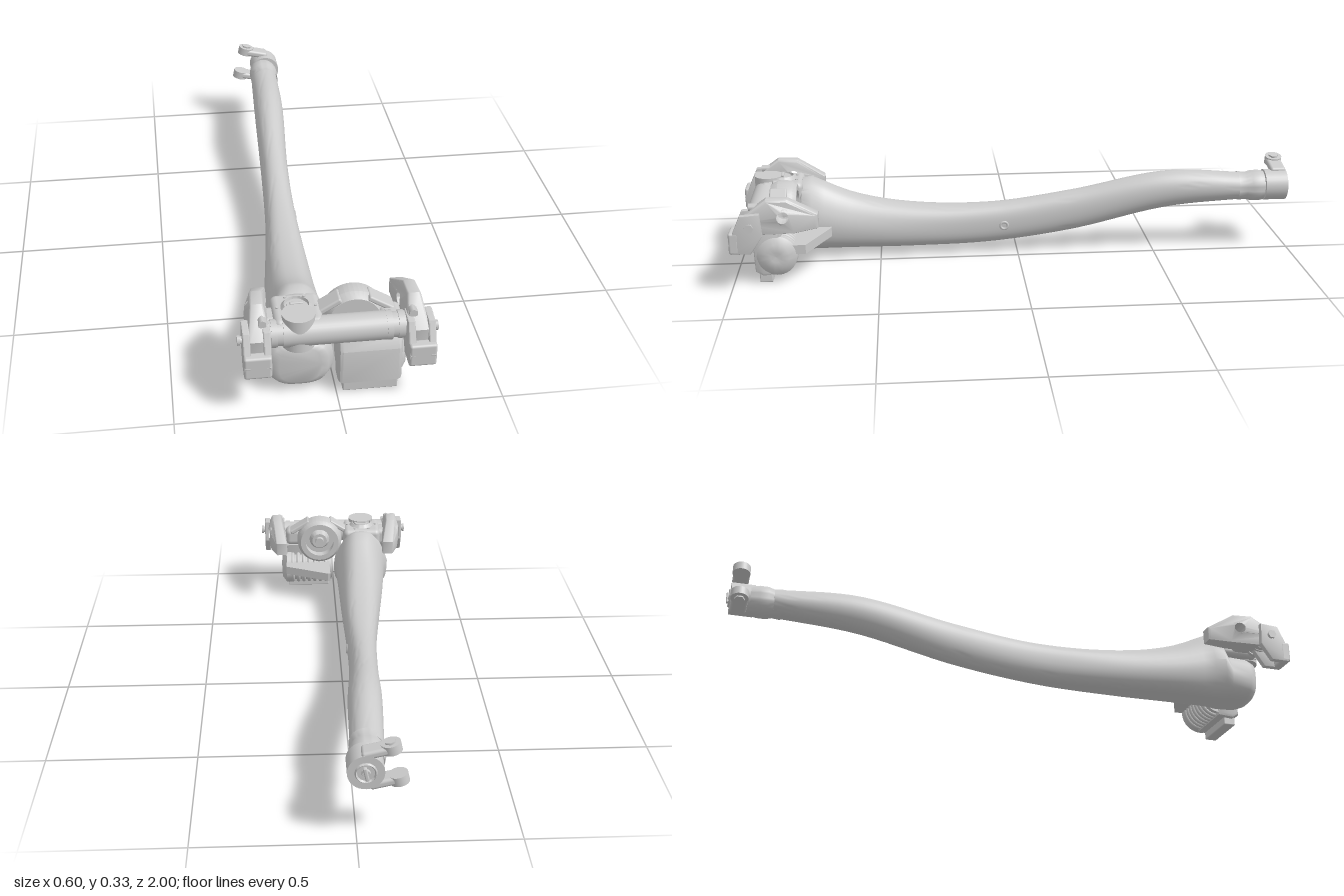
import * as THREE from 'three';
import { RoundedBoxGeometry } from 'three/addons/geometries/RoundedBoxGeometry.js';
import { toCreasedNormals } from 'three/addons/utils/BufferGeometryUtils.js';

const material = new THREE.MeshStandardMaterial({ color: 0xcccccc, side: THREE.DoubleSide });

function add(parent, name, geometry, x = 0, y = 0, z = 0) {
  const mesh = new THREE.Mesh(geometry, material);
  mesh.name = name;
  mesh.position.set(x, y, z);
  parent.add(mesh);
  return mesh;
}
const box = (w, h, d, r = 0.01) => new RoundedBoxGeometry(w, h, d, 3, r);

// Cylinder along a chosen axis
function rod(r, length, axis = 'x', sides = 32) {
  const g = new THREE.CylinderGeometry(r, r, length, sides);
  if (axis === 'x') g.rotateZ(-Math.PI / 2);
  if (axis === 'z') g.rotateX(Math.PI / 2);
  return g;
}

// Turned shape: profile of [radius, position along axis]
function turned(points, axis) {
  const g = new THREE.LatheGeometry(points.map(([r, h]) => new THREE.Vector2(r, h)), 40);
  if (axis === 'x') g.rotateZ(-Math.PI / 2);
  if (axis === 'z') g.rotateX(Math.PI / 2);
  return toCreasedNormals(g, 0.6);
}

// Side profile of [z, y] points, extruded across x around its own centre
function sidePlate(points, width, bevel, holes = []) {
  const shape = new THREE.Shape(points.map(([z, y]) => new THREE.Vector2(-z, y)));
  for (const [z, y, r] of holes) shape.holes.push(new THREE.Path().absarc(-z, y, r, 0, Math.PI * 2, true));
  const g = new THREE.ExtrudeGeometry(shape, {
    depth: width - 2 * bevel, bevelEnabled: true, bevelSize: bevel, bevelThickness: bevel,
    bevelOffset: -bevel, bevelSegments: 2, curveSegments: 20,
  });
  g.translate(0, 0, -width / 2 + bevel);
  g.rotateY(Math.PI / 2);
  return toCreasedNormals(g, 0.6);
}

// Long curved beam lofted through smoothly interpolated cross-sections
function beamGeometry() {
  // Edges at each distance -z: left x, right x, bottom y, top y
  const distance = [-0.74, -0.6, -0.4, -0.1, 0.2, 0.55, 0.84];
  const edges = [
    -0.205, -0.004, 0.022, 0.287,
    -0.19, -0.01, 0.024, 0.225,
    -0.165, -0.014, 0.025, 0.185,
    -0.132, -0.02, 0.034, 0.18,
    -0.116, -0.015, 0.074, 0.223,
    -0.105, 0.007, 0.157, 0.292,
    -0.09, 0.014, 0.184, 0.28,
  ];
  const along = new THREE.CubicInterpolant(distance, edges, 4);
  const { smoothstep, lerp } = THREE.MathUtils;

  // Nose: z, top y, inset of the outline
  const rings = [[0.905, 0.19, 0.045], [0.898, 0.19, 0.022], [0.87, 0.19, 0.004], [0.8, 0.2, 0], [0.775, 0.28, 0]]
    .map(([z, top, inset]) => [z, -0.22 + inset, -inset, 0.02 + inset / 2, top - inset / 2]);
  const steps = 36;
  for (let i = 0; i <= steps; i++) {
    const z = lerp(0.74, -0.84, i / steps);
    rings.push([z, ...along.evaluate(-z)]);
  }

  const n = 40, position = [], index = [];
  const power = (v, e) => Math.sign(v) * Math.abs(v) ** e;
  for (const [z, l, r, b, t] of rings) {
    // Boxy and narrow-topped at the front, round at the rear
    const exponent = lerp(1, 0.72, smoothstep(z, -0.6, 0.6));
    const narrow = 0.35 * smoothstep(z, 0.1, 0.75) * (1 - smoothstep(z, 0.77, 0.9));
    for (let j = 0; j < n; j++) {
      const a = (j / n) * Math.PI * 2;
      const s = power(Math.sin(a), exponent);
      const c = power(Math.cos(a), exponent) * (1 - narrow * Math.max(0, s));
      position.push((l + r) / 2 + c * (r - l) / 2, (b + t) / 2 + s * (t - b) / 2, z);
    }
  }
  const last = rings.length - 1;
  for (let j = 0; j < n; j++) {
    const k = (j + 1) % n;
    for (let i = 0; i < last; i++) {
      const a = i * n + j, b = i * n + k;
      index.push(a, a + n, b, b, a + n, b + n);
    }
    if (j > 0 && j < n - 1) index.push(0, j, k, last * n, last * n + k, last * n + j);
  }
  const g = new THREE.BufferGeometry();
  g.setAttribute('position', new THREE.Float32BufferAttribute(position, 3));
  g.setIndex(index);
  return toCreasedNormals(g, 0.9);
}

// End bracket on one side of the cross tube
function endBracket(side) {
  const g = new THREE.Group();
  g.name = side > 0 ? 'leftEndBracket' : 'rightEndBracket';
  const upper = sidePlate([[0.96, 0.2], [0.965, 0.25], [0.87, 0.32], [0.8, 0.318],
    [0.7, 0.26], [0.7, 0.21], [0.78, 0.2]], 0.07, 0.008, [[0.815, 0.26, 0.028]]);
  // Narrow the bracket towards its crest and its rear tip
  const p = upper.attributes.position;
  for (let i = 0; i < p.count; i++) {
    const crest = Math.max(0, p.getY(i) - 0.27) / 0.05;
    const tip = Math.max(0, 0.82 - p.getZ(i)) / 0.12;
    p.setX(i, p.getX(i) * (1 - 0.45 * crest) * (1 - 0.35 * tip) - 0.02 * tip * side);
  }
  add(g, 'bracketArm', toCreasedNormals(upper, 0.6), 0.237 * side);
  for (const x of [0.215, 0.276])
    add(g, 'forkCheek', sidePlate([[0.925, 0.14], [0.99, 0.14], [0.998, 0.18], [0.955, 0.275],
      [0.89, 0.28], [0.885, 0.2]], 0.022, 0.004), x * side);
  add(g, 'forkTip', box(0.083, 0.075, 0.035, 0.008), 0.246 * side, 0.178, 0.98);
  add(g, 'rollerAxle', rod(0.012, 0.1), 0.248 * side, 0.235, 0.925);
  add(g, 'axleNut', rod(0.016, 0.008, 'x', 6), 0.297 * side, 0.235, 0.925);
  add(g, 'crestBolt', rod(0.014, 0.03, 'z', 6), 0.225 * side, 0.286, 0.915);
  return g;
}

export function createModel() {
  const model = new THREE.Group();
  model.name = 'hingedArm';
  add(model, 'beam', beamGeometry());
  const eyelet = add(model, 'beamEyelet', new THREE.TorusGeometry(0.013, 0.005, 10, 24), -0.021, 0.108, 0.05);
  eyelet.rotation.y = Math.PI / 2;

  // Cross tube with stacked collars and a bracket at both ends
  add(model, 'crossTube', rod(0.044, 0.3), 0, 0.235, 0.905);
  for (const side of [-1, 1]) {
    for (let i = 0; i < 6; i++)
      add(model, 'tubeCollar', rod(i % 2 ? 0.039 : 0.045 - i * 0.001, 0.018), (0.155 + i * 0.018) * side, 0.235, 0.905);
    model.add(endBracket(side));
  }

  // Hinge block over the beam
  add(model, 'hingeBlock', box(0.15, 0.095, 0.15, 0.02), -0.115, 0.235, 0.845);
  add(model, 'hingeBarrel', rod(0.05, 0.11, 'y'), -0.115, 0.24, 0.895);
  add(model, 'hingeCap', turned([[0, 0.012], [0.028, 0.012], [0.03, 0.004], [0.036, 0.004], [0.038, 0.014], [0.05, 0]], 'y'),
    -0.115, 0.28, 0.845);
  add(model, 'capSlot', box(0.04, 0.008, 0.01, 0.003), -0.115, 0.295, 0.845);
  for (let i = 0; i < 6; i++) {
    const a = (i / 6) * Math.PI * 2;
    add(model, 'capScrew', rod(0.005, 0.006, 'y'), -0.115 + 0.058 * Math.cos(a), 0.283, 0.845 + 0.058 * Math.sin(a));
  }
  add(model, 'rightShoulder', box(0.06, 0.07, 0.08, 0.02), -0.2, 0.235, 0.85);
  add(model, 'leftShoulder', box(0.07, 0.07, 0.08, 0.02), 0.165, 0.235, 0.865);

  // Drive ring with a hub facing the back
  add(model, 'driveRing', turned([[0.058, -0.045], [0.078, -0.045], [0.09, -0.03], [0.094, 0.02], [0.08, 0.045],
    [0.062, 0.045], [0.058, -0.045]], 'z'), 0.06, 0.23, 0.825);
  add(model, 'driveDisc', rod(0.06, 0.03, 'z'), 0.06, 0.23, 0.835);
  add(model, 'driveHub', turned([[0, -0.035], [0.016, -0.035], [0.018, -0.022], [0.03, -0.022], [0.046, 0.01]], 'z'),
    0.06, 0.23, 0.82);
  for (const side of [-1, 1]) {
    const web = add(model, 'ringWeb', box(0.09, 0.018, 0.06, 0.006), 0.06 + 0.08 * side, 0.284, 0.84);
    web.rotation.z = -0.55 * side;
  }

  // Housing below the ring, with a coil behind it
  add(model, 'housing', sidePlate([[0.925, 0.04], [0.93, 0.16], [0.91, 0.195], [0.83, 0.2],
    [0.835, 0.1], [0.84, 0.03], [0.9, 0.025]], 0.195, 0.012), 0.103);
  add(model, 'foot', box(0.17, 0.045, 0.045, 0.004), 0.105, 0.0225, 0.89);
  add(model, 'coilCore', rod(0.058, 0.19), 0.105, 0.1, 0.845);
  for (let i = 0; i < 7; i++) {
    const coil = add(model, 'coilRing', new THREE.TorusGeometry(0.06, 0.008, 10, 36), 0.035 + i * 0.023, 0.1, 0.845);
    coil.rotation.y = Math.PI / 2;
  }
  add(model, 'coilEndCap', turned([[0.07, -0.02], [0.07, 0], [0.045, 0.018], [0.018, 0.02], [0, 0.014]], 'x'),
    0.198, 0.1, 0.85);

  // Rear plate, triangular from above
  const outline = [[0.02, 0.67], [0.03, 0.67], [0.2, 0.75], [0.2, 0.8], [0.02, 0.8]];
  const plate = new THREE.ExtrudeGeometry(new THREE.Shape(outline.map(([x, z]) => new THREE.Vector2(x, -z))),
    { depth: 0.032, bevelEnabled: false });
  plate.rotateX(-Math.PI / 2);
  add(model, 'rearPlate', plate, 0, 0.105, 0);

  // Rear neck and yoke
  add(model, 'neck', turned([[0.05, -0.05], [0.056, -0.02], [0.056, 0.01], [0.05, 0.03], [0.053, 0.06]], 'z'), -0.036, 0.232, -0.87);
  const yoke = new THREE.Group();
  yoke.name = 'yoke';
  yoke.position.set(-0.03, 0.238, -0.945);
  yoke.rotation.z = -0.22;
  model.add(yoke);
  add(yoke, 'yokeBody', rod(0.056, 0.08, 'z'), 0.004);
  add(yoke, 'yokeFace', turned([[0, -0.008], [0.012, -0.008], [0.014, 0], [0.026, 0], [0.03, -0.006], [0.04, 0.01]], 'z'),
    0.004, 0, -0.04);
  add(yoke, 'faceKnob', box(0.012, 0.045, 0.014, 0.004), 0.004, 0, -0.046);
  for (const side of [-1, 1]) {
    add(yoke, 'yokeProng', box(0.1, 0.026, 0.056, 0.01), -0.045, 0.052 * side, -0.012);
    add(yoke, 'prongEye', rod(0.03, 0.03, 'y'), -0.085, 0.054 * side, -0.014);
    add(yoke, 'prongBolt', rod(0.018, 0.01, 'y', 6), -0.085, 0.07 * side, -0.014);
  }
  return model;
}
